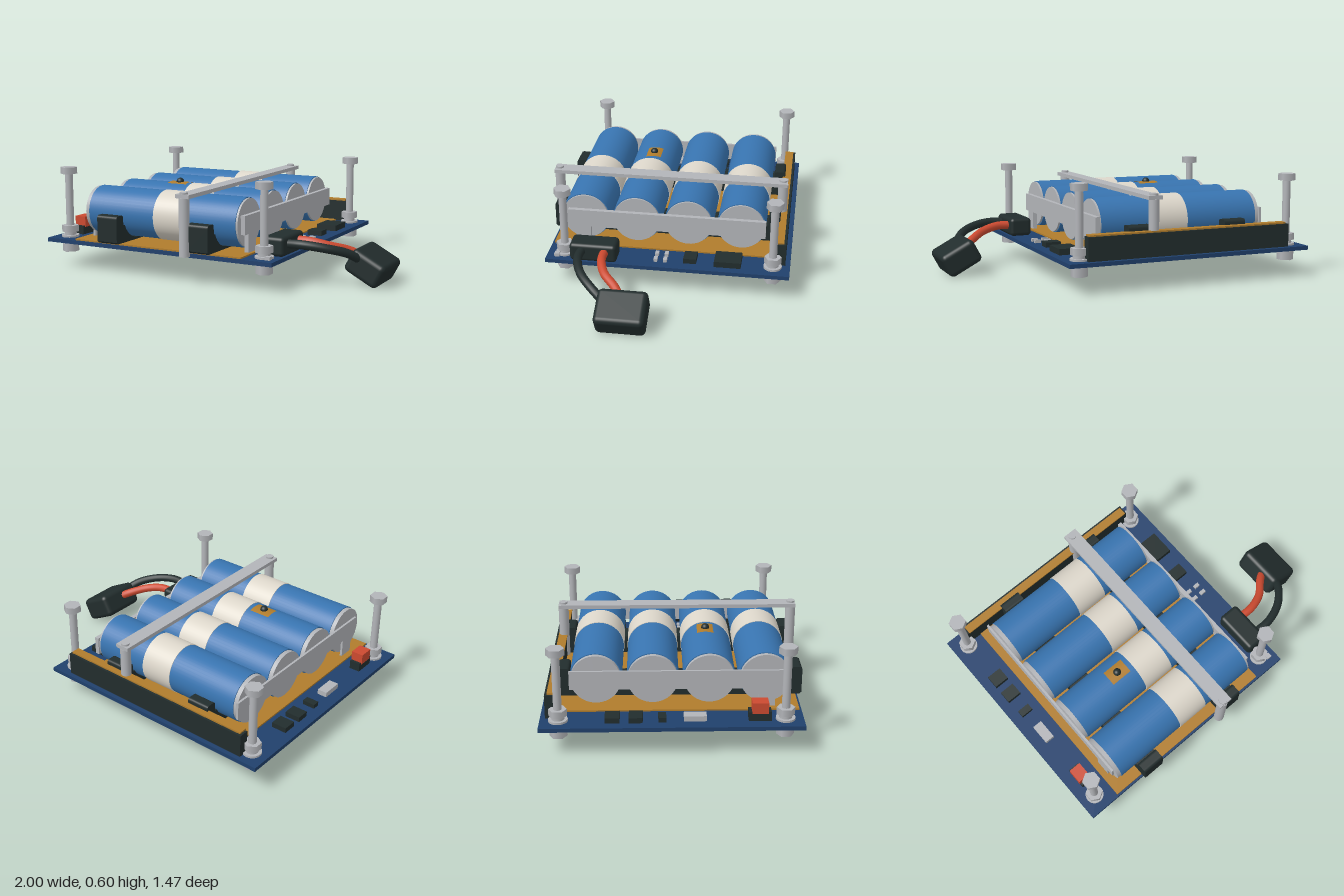
import * as THREE from 'three';
import { RoundedBoxGeometry } from 'three/addons/geometries/RoundedBoxGeometry.js';

const mat = (name, color) => {
  const m = new THREE.MeshStandardMaterial({ color });
  m.name = name;
  return m;
};

export function createModel() {
  const navy = mat('navy board', 0x20406c);
  const blue = mat('blue sleeve', 0x3874b0);
  const cream = mat('cream label', 0xdcd6ca);
  const metal = mat('silver metal', 0xb2b4b8);
  const dark = mat('dark plastic', 0x222d2d);
  const amber = mat('amber sheet', 0xb07c2c);
  const red = mat('red wire', 0xcc4a30);

  const model = new THREE.Group();
  model.name = 'batteryPack';

  const add = (name, geo, material, x = 0, y = 0, z = 0, parent = model) => {
    const m = new THREE.Mesh(geo, material);
    m.name = name;
    m.position.set(x, y, z);
    parent.add(m);
    return m;
  };
  // box given by its minimum and maximum on each axis
  const box = (name, material, x0, x1, y0, y1, z0, z1) =>
    add(name, new THREE.BoxGeometry(x1 - x0, y1 - y0, z1 - z0), material,
      (x0 + x1) / 2, (y0 + y1) / 2, (z0 + z1) / 2);
  // upright cylinder between two heights
  const post = (name, material, r, y0, y1, x, z, sides = 24, parent = model) =>
    add(name, new THREE.CylinderGeometry(r, r, y1 - y0, sides), material, x, (y0 + y1) / 2, z, parent);
  // cylinder lying along x
  const rod = (name, material, r, x0, x1, y, z, parent) => {
    const g = new THREE.CylinderGeometry(r, r, x1 - x0, 48).rotateZ(Math.PI / 2);
    return add(name, g, material, (x0 + x1) / 2, y, z, parent);
  };

  const TOP = 0.178;
  box('circuitBoard', navy, -1, 0.5, 0.155, TOP, -0.738, 0.682);
  box('insulatingSheet', amber, -0.805, 0.307, TOP, 0.187, -0.65, 0.67);

  // four cells side by side
  const cellY = 0.347;
  const cellZ = [-0.44, -0.13, 0.18, 0.485];
  for (const z of cellZ) {
    const cell = new THREE.Group();
    cell.name = 'cell';
    model.add(cell);
    rod('metalCan', metal, 0.138, -0.755, 0.262, cellY, z, cell);
    rod('sleeve', blue, 0.143, -0.73, 0.25, cellY, z, cell);
    rod('labelBand', cream, 0.146, -0.283, -0.085, cellY, z, cell);
  }

  // joining strips with a solder tab at each end of the cells
  for (const [x0, x1] of [[-0.768, -0.754], [0.262, 0.288]]) {
    box('terminalStrip', metal, x0, x1, 0.293, 0.4, -0.585, 0.585);
    box('terminalTab', metal, x0, x1, 0.18, 0.3, 0.45, 0.54);
  }

  // cradles: a bar with round seats for the cells and raised ends
  const s = new THREE.Shape();
  const R = 0.147, seatY = 0.29, endY = 0.35;
  const half = Math.sqrt(R * R - (cellY - seatY) ** 2);
  const a = Math.asin((cellY - seatY) / R);
  s.moveTo(-0.65, 0.187);
  s.lineTo(-0.66, 0.197);
  s.lineTo(-0.66, endY - 0.02);
  s.quadraticCurveTo(-0.66, endY, -0.64, endY);
  s.lineTo(-0.61, endY);
  s.quadraticCurveTo(-0.592, endY, -0.592, endY - 0.02);
  s.lineTo(-0.592, seatY);
  for (const z of cellZ) {
    s.lineTo(z - half, seatY);
    s.absarc(z, cellY, R, Math.PI + a, 2 * Math.PI - a, false);
  }
  s.lineTo(0.636, seatY);
  s.lineTo(0.636, endY - 0.02);
  s.quadraticCurveTo(0.636, endY, 0.655, endY);
  s.lineTo(0.685, endY);
  s.quadraticCurveTo(0.705, endY, 0.705, endY - 0.02);
  s.lineTo(0.705, 0.197);
  s.lineTo(0.695, 0.187);
  s.closePath();
  for (const x of [-0.55, 0.053]) {
    const g = new THREE.ExtrudeGeometry(s, { depth: 0.134, bevelEnabled: false, curveSegments: 20 });
    g.translate(0, 0, -0.067).rotateY(-Math.PI / 2);
    add('cradle', g, dark, x);
  }

  // rear wall with its amber capping
  box('rearWall', dark, -0.88, 0.38, TOP, 0.312, -0.71, -0.65);
  box('rearWallCap', amber, -0.867, 0.37, 0.312, 0.321, -0.697, -0.645);

  // clamp bar on two pillars
  box('clampBar', metal, -0.072, 0.014, 0.494, 0.516, -0.69, 0.728);
  for (const z of [-0.663, 0.703]) {
    post('clampPillar', metal, 0.03, 0.164, 0.494, -0.03, z);
    post('clampScrew', metal, 0.024, 0.51, 0.527, -0.03, z);
  }

  // corner bolts
  for (const x of [-0.906, 0.406]) for (const z of [-0.638, 0.582]) {
    const bolt = new THREE.Group();
    bolt.name = 'cornerBolt';
    model.add(bolt);
    post('boltHead', metal, 0.05, 0.56, 0.6, x, z, 6, bolt);
    post('boltShaft', metal, 0.023, 0.15, 0.565, x, z, 20, bolt);
    post('boltNut', metal, 0.05, 0.208, 0.248, x, z, 6, bolt);
    post('boltSpacer', metal, 0.035, 0.188, 0.21, x, z, 20, bolt);
    post('boltWasher', metal, 0.053, TOP, 0.19, x, z, 24, bolt);
    post('boltFoot', metal, 0.049, 0.09, 0.156, x, z, 6, bolt);
  }

  // small board parts: x, z, width, depth, height
  const parts = [
    [-0.9, -0.348, 0.09, 0.08, 0.03, dark], [-0.9, -0.222, 0.09, 0.075, 0.03, dark],
    [-0.9, -0.08, 0.075, 0.043, 0.025, dark], [-0.9, 0.097, 0.058, 0.122, 0.03, metal],
    [0.39, -0.38, 0.125, 0.155, 0.035, dark], [0.39, -0.16, 0.092, 0.075, 0.03, dark],
    [0.45, 0.62, 0.03, 0.03, 0.02, metal],
  ];
  for (const x of [0.36, 0.425]) for (const z of [-0.016, 0.04]) parts.push([x, z, 0.036, 0.022, 0.018, metal]);
  for (const [x, z, w, d, h, m] of parts)
    box(m === dark ? 'chip' : 'smallComponent', m, x - w / 2, x + w / 2, TOP, TOP + h, z - d / 2, z + d / 2);
  box('switchBase', dark, -0.932, -0.868, TOP, 0.23, 0.383, 0.505);
  box('switchCap', red, -0.937, -0.865, 0.222, 0.285, 0.4, 0.488);

  // temperature sensor on a curved amber patch
  const patch = new THREE.CylinderGeometry(0.147, 0.147, 0.128, 12, 1, true, -0.32, 0.64);
  patch.rotateZ(Math.PI / 2).rotateX(-Math.PI / 2);
  // keep the arc on top of the cell whichever way the sweep begins
  patch.computeBoundingBox();
  const mid = patch.boundingBox.getCenter(new THREE.Vector3());
  patch.rotateX(Math.atan2(mid.z, mid.y) * -1);
  const amberPatch = amber.clone();
  amberPatch.name = 'amber patch';
  amberPatch.side = THREE.DoubleSide;
  add('sensorPatch', patch, amberPatch, -0.377, cellY, 0.17);
  add('sensorBead', new THREE.SphereGeometry(0.023, 20, 14), dark, -0.377, 0.495, 0.172);

  // socket, wires and plug
  add('socket', new RoundedBoxGeometry(0.132, 0.11, 0.275, 4, 0.022), dark, 0.432, 0.233, 0.398);
  const wire = (name, material, pts) => {
    const curve = new THREE.CatmullRomCurve3(pts.map(p => new THREE.Vector3(...p)));
    add(name, new THREE.TubeGeometry(curve, 40, 0.025, 14), material);
  };
  wire('redWire', red, [[0.47, 0.242, 0.33], [0.57, 0.24, 0.33], [0.67, 0.218, 0.295],
    [0.76, 0.185, 0.215], [0.83, 0.145, 0.17]]);
  wire('darkWire', dark, [[0.47, 0.245, 0.465], [0.59, 0.246, 0.465], [0.71, 0.228, 0.42],
    [0.8, 0.195, 0.34], [0.86, 0.13, 0.24]]);
  const plug = add('plug', new RoundedBoxGeometry(0.218, 0.145, 0.285, 4, 0.03), dark, 0.876, 0.106, 0.158);
  plug.rotation.z = -0.49;

  return model;
}
